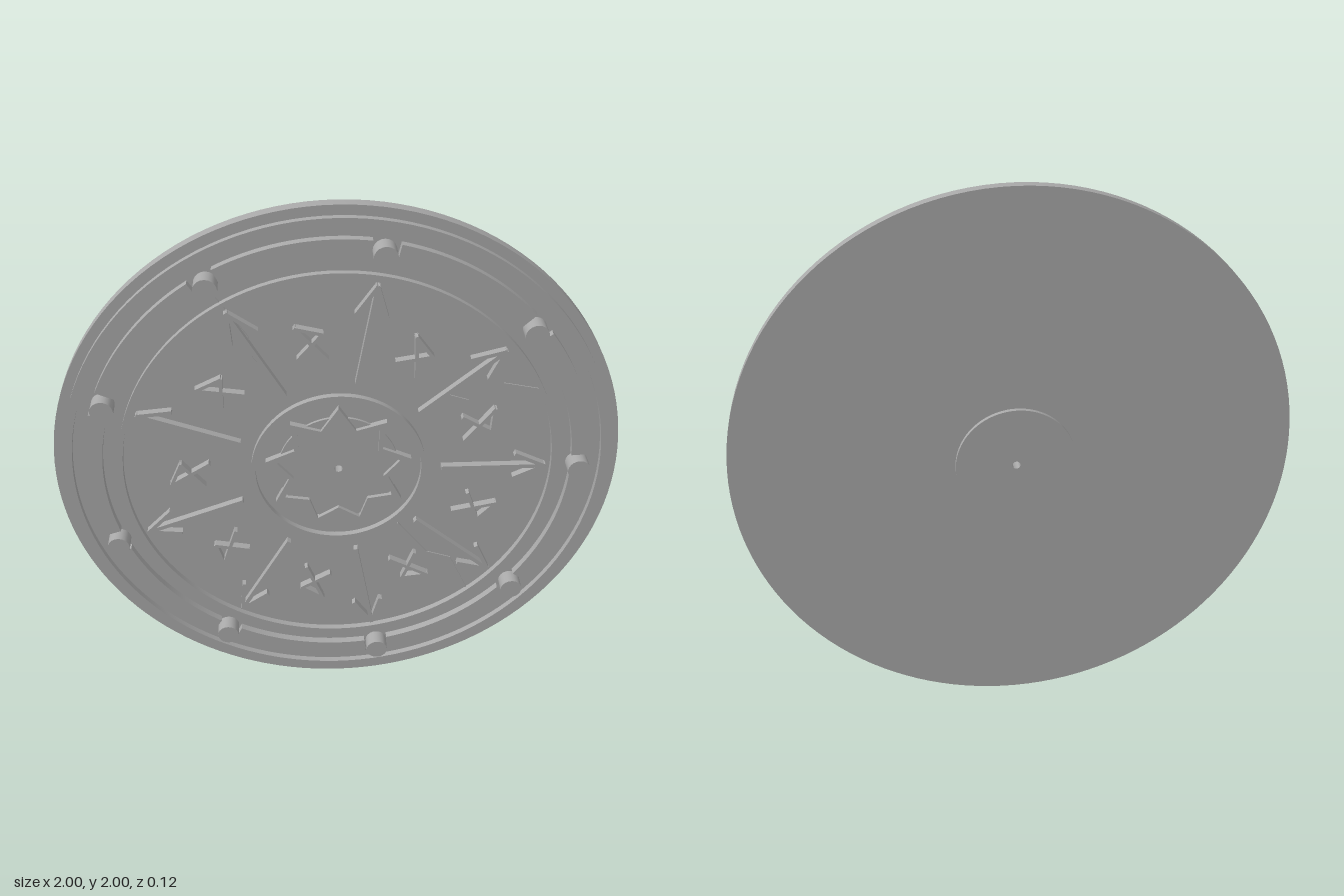
import * as THREE from 'three';
import { toCreasedNormals } from 'three/addons/utils/BufferGeometryUtils.js';

const COUNT = 9;
const STEP = (Math.PI * 2) / COUNT;
const rad = THREE.MathUtils.degToRad;

export function createModel() {
  const stone = new THREE.MeshStandardMaterial({ color: 0xa8a8a8 });
  stone.name = 'grey stone';
  const model = new THREE.Group();
  model.name = 'roundDisc';
  const face = new THREE.Group(); // disc centre sits at y = 1
  face.name = 'disc';
  face.position.y = 1;
  model.add(face);

  function add(geometry, name, parent = face) {
    const mesh = new THREE.Mesh(geometry, stone);
    mesh.name = name;
    parent.add(mesh);
    return mesh;
  }

  // flat ring turned about the z axis
  function ring(r0, r1, z0, z1, name) {
    const profile = [[r0, z0], [r1, z0], [r1, z1], [r0, z1], [r0, z0]].map(p => new THREE.Vector2(...p));
    const g = new THREE.LatheGeometry(profile, 128);
    g.rotateX(Math.PI / 2);
    return add(toCreasedNormals(g, rad(40)), name);
  }

  // straight raised bar between two points
  function bar(a, b, width, height, name, parent) {
    const dx = b[0] - a[0], dy = b[1] - a[1];
    const m = add(new THREE.BoxGeometry(Math.hypot(dx, dy) + width * 0.5, width, height), name, parent);
    m.position.set((a[0] + b[0]) / 2, (a[1] + b[1]) / 2, height / 2);
    m.rotation.z = Math.atan2(dy, dx);
  }

  const extrude = (shape, depth) =>
    new THREE.ExtrudeGeometry(shape, { depth, bevelEnabled: false, curveSegments: 24 });

  // body, hub and raised rings
  ring(0.014, 1, -0.04, 0, 'body');
  ring(0.014, 0.215, -0.056, -0.04, 'backHub');
  ring(0.014, 0.215, 0, 0.01, 'frontHub');
  ring(0.935, 0.965, 0, 0.022, 'outerRing');
  ring(0.76, 0.775, 0, 0.022, 'middleRing');
  ring(0.295, 0.31, 0, 0.022, 'innerRing');

  // star outline around the hub
  const starPoints = (tip, valley) => Array.from({ length: COUNT * 2 }, (_, i) => {
    const a = Math.PI / 2 + (i * STEP) / 2, r = i % 2 ? valley : tip;
    return new THREE.Vector2(Math.cos(a) * r, Math.sin(a) * r);
  });
  const star = new THREE.Shape(starPoints(0.262, 0.18));
  star.holes.push(new THREE.Path(starPoints(0.222, 0.163)));
  add(extrude(star, 0.025), 'star');

  // curved bar that spans the space between two studs
  const arc = new THREE.Shape();
  const gap = rad(3);
  arc.absarc(0, 0, 0.895, gap, STEP - gap, false);
  arc.absarc(0, 0, 0.83, STEP - gap, gap, true);
  const arcGeometry = extrude(arc, 0.027);

  const studGeometry = new THREE.CylinderGeometry(0.04, 0.04, 0.06, 20);
  studGeometry.rotateX(Math.PI / 2);

  // strokes of one angular mark, about its own centre
  const top = [0, 0.085], corner = [0.055, 0.01];
  const strokes = [[top, [0.005, -0.075]], [top, corner], [corner, [-0.065, -0.01]]];

  for (let i = 0; i < COUNT; i++) {
    const a = i * STEP;
    add(arcGeometry, 'rimBar').rotation.z = a;
    add(studGeometry, 'stud').position.set(Math.cos(a) * 0.855, Math.sin(a) * 0.855, 0.03);

    const arrow = new THREE.Group();
    arrow.name = 'arrow';
    arrow.rotation.z = a;
    bar([0.37, 0], [0.735, 0], 0.015, 0.026, 'arrowShaft', arrow);
    for (const s of [-1, 1]) bar([0.735, 0], [0.63, s * 0.05], 0.014, 0.026, 'arrowBarb', arrow);
    face.add(arrow);

    const mark = new THREE.Group();
    mark.name = 'mark';
    const m = a + STEP / 2;
    mark.position.set(Math.cos(m) * 0.52, Math.sin(m) * 0.52, 0);
    mark.rotation.z = m - rad(60);
    for (const [p, q] of strokes) bar(p, q, 0.012, 0.028, 'markStroke', mark);
    face.add(mark);
  }

  // thin cracks on the face
  const cracks = [
    [[0.22, -0.26], [0.33, -0.4], [0.42, -0.43], [0.49, -0.58]],
    [[-0.41, 0.7], [-0.3, 0.54], [-0.29, 0.46], [-0.2, 0.35]],
    [[0.3, 0.25], [0.36, 0.3], [0.45, 0.27]],
    [[0.57, 0.335], [0.69, 0.31]],
  ];
  for (const line of cracks)
    for (let i = 1; i < line.length; i++) bar(line[i - 1], line[i], 0.005, 0.004, 'crack', face);

  return model;
}
